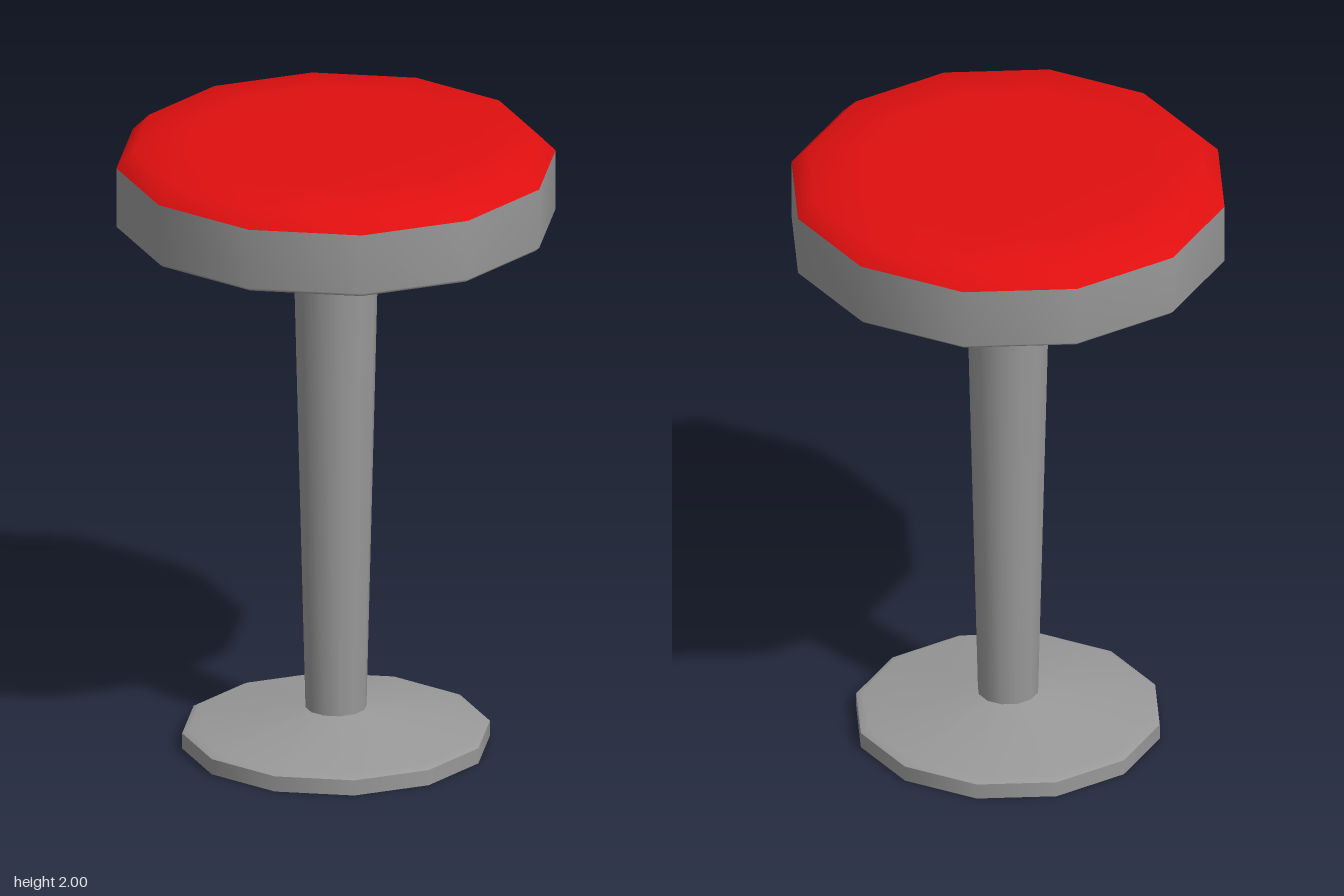
import * as THREE from 'three';

const SIDES = 12;

// Revolve a bottom-to-top profile of [radius, height] pairs
function turned(name, profile, material, sides = SIDES) {
  const points = profile.map(([r, y]) => new THREE.Vector2(r, y));
  const mesh = new THREE.Mesh(new THREE.LatheGeometry(points, sides), material);
  mesh.name = name;
  return mesh;
}

// Flat disc facing down, with corners matching the turned parts
function underside(name, radius, y, material) {
  const mesh = new THREE.Mesh(new THREE.CircleGeometry(radius, SIDES), material);
  mesh.rotation.x = Math.PI / 2;
  mesh.position.y = y;
  mesh.name = name;
  return mesh;
}

export function createModel() {
  const metal = new THREE.MeshStandardMaterial({ color: 0x999999 });
  metal.name = 'grey metal';
  const vinyl = new THREE.MeshStandardMaterial({ color: 0xe00f0f });
  vinyl.name = 'red vinyl';

  const stool = new THREE.Group();
  stool.name = 'barStool';

  // Foot: short rim and a shallow cone up to the column
  stool.add(
    underside('footUnderside', 0.48, 0, metal),
    turned('footRim', [[0.48, 0], [0.48, 0.05]], metal),
    turned('footCone', [[0.48, 0.05], [0.455, 0.062], [0.095, 0.12]], metal),
  );

  // Column, widening towards the seat
  stool.add(turned('column', [[0.095, 0.11], [0.135, 1.725]], metal));

  // Seat: metal band with a small lower bevel, and a domed cushion
  stool.add(
    underside('seatUnderside', 0.672, 1.72, metal),
    turned('seatBand', [[0.672, 1.72], [0.685, 1.732], [0.685, 1.925]], metal),
    turned('cushion', [[0.685, 1.925], [0.63, 1.98], [0.46, 2], [0, 2]], vinyl),
  );

  return stool;
}
